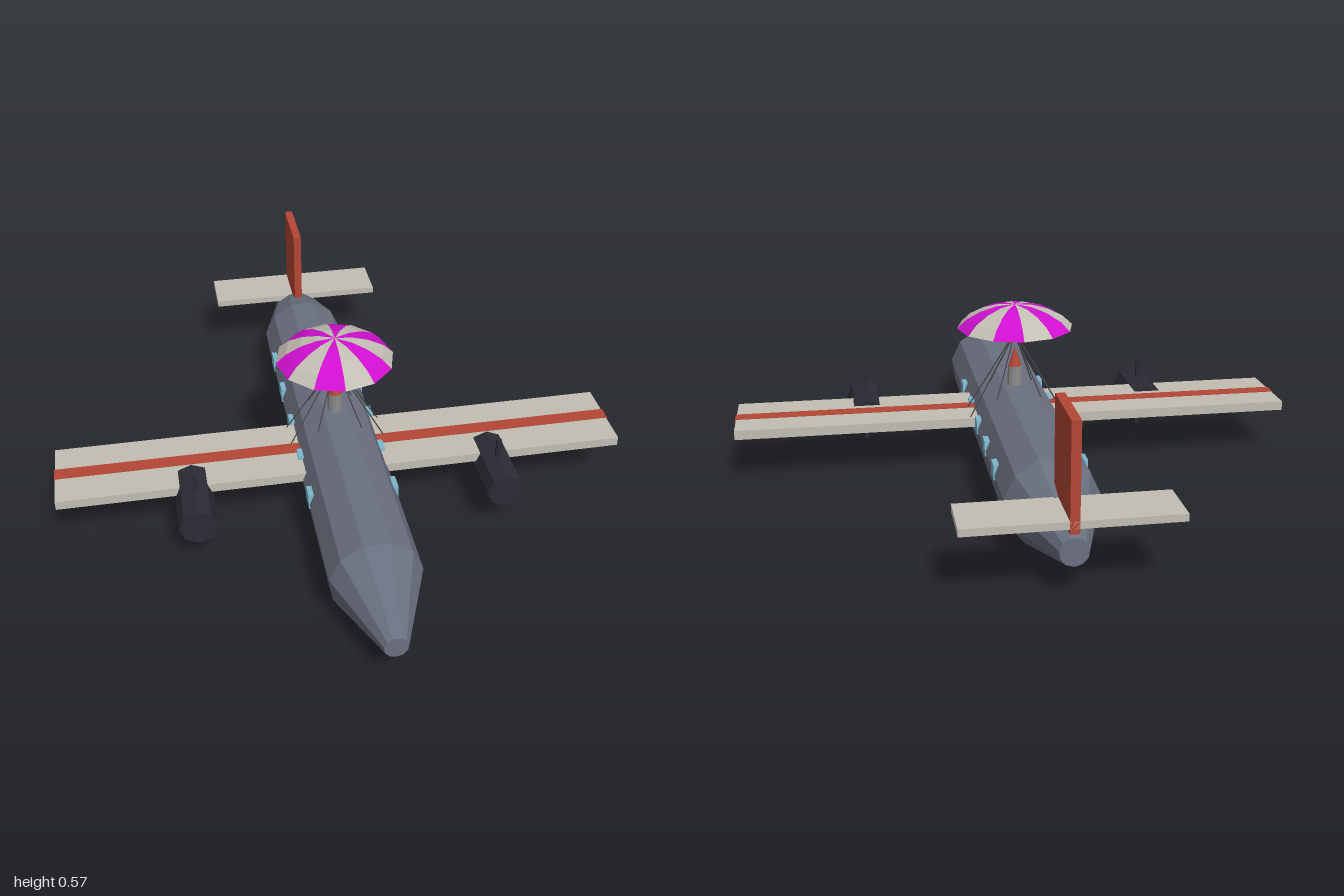
import * as THREE from 'three';

const mat = (name, color, side = THREE.FrontSide) => {
  const m = new THREE.MeshStandardMaterial({ color, flatShading: true, side });
  m.name = name;
  return m;
};

export function createModel() {
  const model = new THREE.Group();
  model.name = 'parachuteAircraft';

  const slate = mat('slate hull', 0x6b7080);
  const cream = mat('cream', 0xc2beb3, THREE.DoubleSide);
  const red = mat('red', 0xb44636);
  const dark = mat('dark engine', 0x2b2c34);
  const glass = mat('window blue', 0x7ab6cc);
  const magenta = mat('magenta', 0xd010d0, THREE.DoubleSide);
  const steel = mat('steel', 0x8c8c8a);
  const rope = mat('rope grey', 0x4a4a4a);

  const add = (name, geometry, material, x = 0, y = 0, z = 0) => {
    const mesh = new THREE.Mesh(geometry, material);
    mesh.name = name;
    mesh.position.set(x, y, z);
    model.add(mesh);
    return mesh;
  };
  // Box given by its min and max corners
  const block = (name, material, [x0, y0, z0], [x1, y1, z1]) =>
    add(name, new THREE.BoxGeometry(x1 - x0, y1 - y0, z1 - z0), material,
      (x0 + x1) / 2, (y0 + y1) / 2, (z0 + z1) / 2);

  // Eleven-sided fuselage, tapered at both ends
  const axisY = 0.147;
  const hullProfile = [[0, -1], [0.043, -1], [0.147, -0.677], [0.147, 0.722], [0.037, 1], [0, 1]]
    .map(([r, z]) => new THREE.Vector2(r, z));
  add('fuselage', new THREE.LatheGeometry(hullProfile, 11).rotateX(Math.PI / 2), slate, 0, axisY, 0);

  // Wing with a red band wrapped around it
  block('wing', cream, [-0.953, 0.16, -0.036], [0.953, 0.192, 0.239]);
  block('wingStripe', red, [-0.956, 0.158, 0.073], [0.956, 0.194, 0.123]);

  // Tail surfaces
  block('tailplane', cream, [-0.315, 0.215, -1], [0.315, 0.238, -0.833]);
  block('tailFin', red, [-0.014, 0.2, -1], [0.014, 0.524, -0.774]);

  // Window outline, slightly narrower at the top
  const pane = new THREE.Shape([[-0.032, -0.024], [0.032, -0.024], [0.025, 0.024], [-0.025, 0.024]]
    .map(([x, y]) => new THREE.Vector2(x, y)));
  const paneGeometry = new THREE.ExtrudeGeometry(pane, { depth: 0.02, bevelEnabled: false })
    .translate(0, 0, -0.01).rotateY(Math.PI / 2);

  for (const side of [-1, 1]) {
    // Engines and propellers
    add('engine', new THREE.CylinderGeometry(0.063, 0.063, 0.245, 8).rotateX(Math.PI / 2), dark,
      side * 0.507, 0.149, 0.273);
    add('propeller', new THREE.BoxGeometry(0.016, 0.256, 0.011), dark, side * 0.507, 0.15, 0.284);
    // Window row
    for (let i = 0; i < 5; i++) {
      add('window', paneGeometry, glass, side * 0.138, 0.177, 0.34 - i * 0.2);
    }
  }

  // Capsule standing on the fuselage
  const cz = 0.026;
  add('capsule', new THREE.CylinderGeometry(0.024, 0.026, 0.09, 12), steel, 0, 0.31, cz);
  add('capsuleNose', new THREE.ConeGeometry(0.023, 0.066, 12), red, 0, 0.388, cz);

  // Ropes from a common point down to the fuselage
  const top = new THREE.Vector3(0, 0.472, cz);
  for (const sx of [-1, 1]) for (const sz of [-1, 1]) {
    for (const [x, y, z] of [[0.165, 0.185, 0.05], [0.09, 0.225, 0.115]]) {
      const path = new THREE.LineCurve3(top, new THREE.Vector3(sx * x, y, cz + sz * z));
      add('rope', new THREE.TubeGeometry(path, 1, 0.0022, 4), rope);
    }
  }

  // Canopy of twelve alternating gores
  const gore = [[0.198, 0.494], [0.165, 0.525], [0.115, 0.551], [0.06, 0.567], [0, 0.572]]
    .map(([r, y]) => new THREE.Vector2(r, y));
  for (let i = 0; i < 12; i++) {
    add('canopyGore', new THREE.LatheGeometry(gore, 1, i * Math.PI / 6, Math.PI / 6),
      i % 2 ? magenta : cream, 0, 0, cz - 0.002);
  }

  return model;
}
